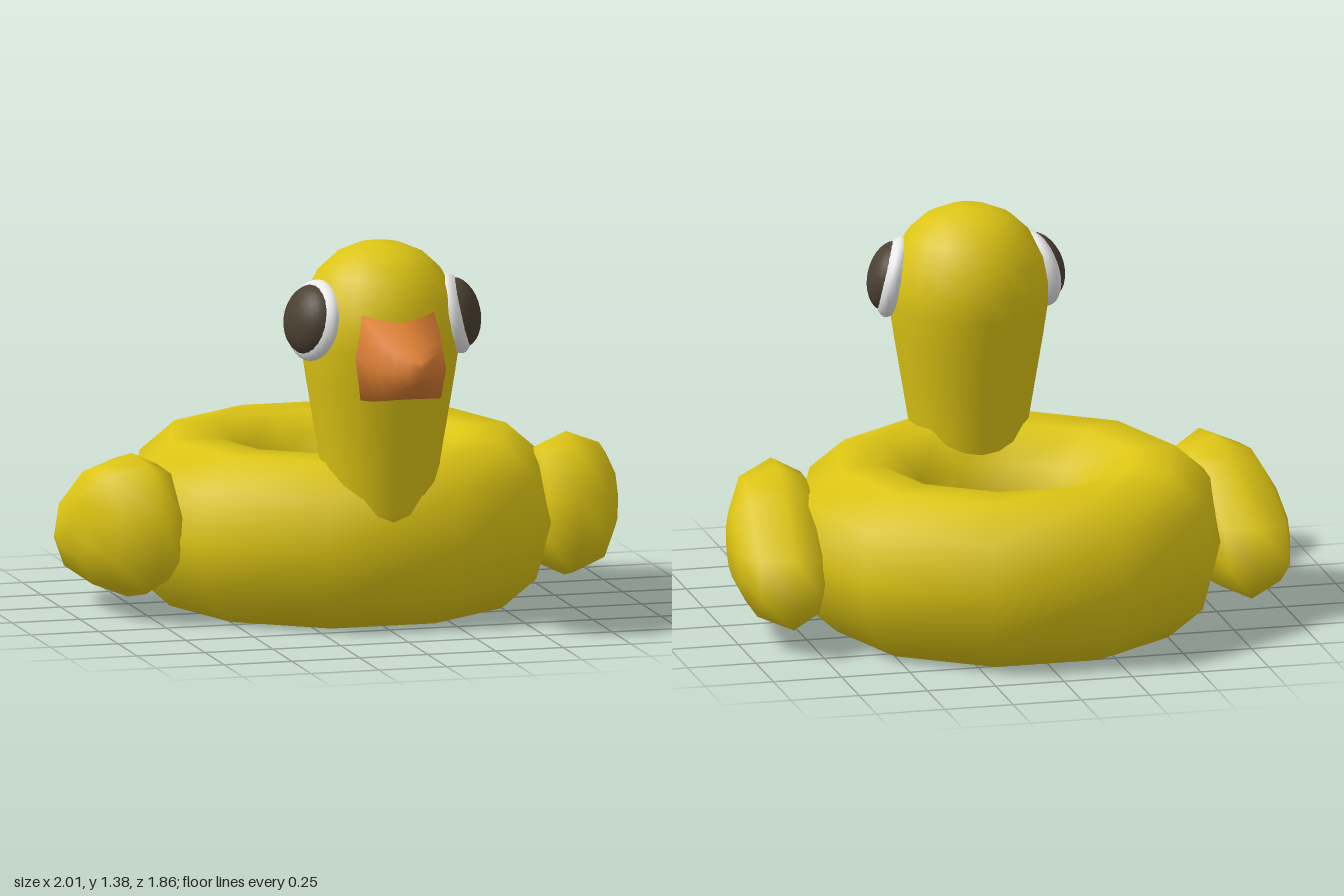
import * as THREE from 'three';
import { mergeVertices } from 'three/addons/utils/BufferGeometryUtils.js';

const material = (name, color) => {
  const m = new THREE.MeshStandardMaterial({ color });
  m.name = name;
  return m;
};

// Skin a list of rings (arrays of [x, y, z], clockwise seen from the last ring's end)
function loft(rings) {
  const n = rings[0].length, index = [];
  for (let i = 0; i < rings.length - 1; i++) {
    for (let j = 0; j < n; j++) {
      const a = i * n + j, b = i * n + (j + 1) % n;
      index.push(a, a + n, b, b, a + n, b + n);
    }
  }
  const g = new THREE.BufferGeometry();
  g.setAttribute('position', new THREE.Float32BufferAttribute(rings.flat(2), 3));
  g.setIndex(index);
  const merged = mergeVertices(g);
  merged.computeVertexNormals();
  return merged;
}

export function createModel() {
  const group = new THREE.Group();
  group.name = 'duckFloat';
  const yellow = material('yellow', 0xdcc414);
  const orange = material('orange', 0xd87c32);
  const white = material('white', 0xe8e8e8);
  const dark = material('dark brown', 0x4b4032);
  const add = (name, geometry, mat) => {
    const mesh = new THREE.Mesh(geometry, mat);
    mesh.name = name;
    group.add(mesh);
    return mesh;
  };

  // Inflated ring, ten sides both ways
  const ring = new THREE.TorusGeometry(0.5375, 0.2625, 10, 10);
  ring.scale(1, 1, 1.2).rotateX(Math.PI / 2);
  add('ring', ring, yellow).position.set(0, 0.3, -0.17);

  // Neck and head in one turned profile
  const profile = [[0, 0.3], [0.175, 0.3], [0.195, 0.43], [0.215, 0.6], [0.24, 0.75], [0.265, 0.9],
    [0.283, 1.02], [0.284, 1.1], [0.267, 1.19], [0.22, 1.28], [0.155, 1.34], [0.08, 1.372], [0, 1.38]];
  const head = new THREE.LatheGeometry(profile.map(p => new THREE.Vector2(...p)), 20);
  add('neckAndHead', head, yellow).position.z = 0.375;

  // Beak: pillow-cornered sections [z, half width, bottom, top]
  const section = [[0, 0.92], [0.85, 1], [1, 0], [0.85, -1], [0, -0.98], [-0.85, -1], [-1, 0], [-0.85, 1]];
  const beak = [[0.5, 0.16, 0.84, 1.19], [0.62, 0.155, 0.855, 1.157], [0.72, 0.142, 0.868, 1.12],
    [0.8, 0.125, 0.888, 1.09], [0.865, 0.09, 0.925, 1.062], [0.91, 0.045, 0.965, 1.038], [0.93, 0, 1.01, 1.01]];
  add('beak', loft(beak.map(([z, w, lo, hi]) =>
    section.map(([u, v]) => [u * w, (lo + hi) / 2 + v * (hi - lo) / 2, z]))), orange);

  // Wing outline [z, y] and its puffed layers [scale, sideways offset]
  const outline = [[0.27, 0.4], [0.135, 0.57], [-0.03, 0.585], [-0.19, 0.54], [-0.47, 0.35],
    [-0.53, 0.19], [-0.41, 0.085], [-0.07, 0.06], [0.11, 0.1], [0.235, 0.2]];
  const layers = [[0, -0.14], [0.45, -0.135], [0.82, -0.1], [1, 0], [0.81, 0.125], [0.42, 0.18], [0, 0.19]];

  for (const [side, s] of [['left', 1], ['right', -1]]) {
    const rim = s > 0 ? outline : [...outline].reverse();
    add(side + 'Wing', loft(layers.map(([k, off]) => rim.map(([z, y]) => {
      const pz = -0.13 + (z + 0.13) * k;
      return [s * (0.797 - 0.1 * pz + off), 0.32 + (y - 0.32) * k, pz];
    }))), yellow);

    // Bulging eye: flattened white ball with a dark dome
    const normal = new THREE.Vector3(s * 0.94, 0.22, 0.28).normalize();
    const facing = new THREE.Quaternion().setFromUnitVectors(new THREE.Vector3(0, 0, 1), normal);
    const centre = new THREE.Vector3(s * 0.258, 1.118, 0.43);
    const eye = add(side + 'EyeWhite', new THREE.SphereGeometry(1, 24, 16).scale(0.146, 0.146, 0.06), white);
    eye.position.copy(centre);
    eye.quaternion.copy(facing);
    const dome = new THREE.SphereGeometry(1, 24, 8, 0, Math.PI * 2, 0, Math.PI / 2);
    dome.rotateX(Math.PI / 2).scale(0.128, 0.128, 0.082);
    const pupil = add(side + 'Pupil', dome, dark);
    pupil.position.copy(centre).addScaledVector(normal, 0.012);
    pupil.quaternion.copy(facing);
  }
  return group;
}
